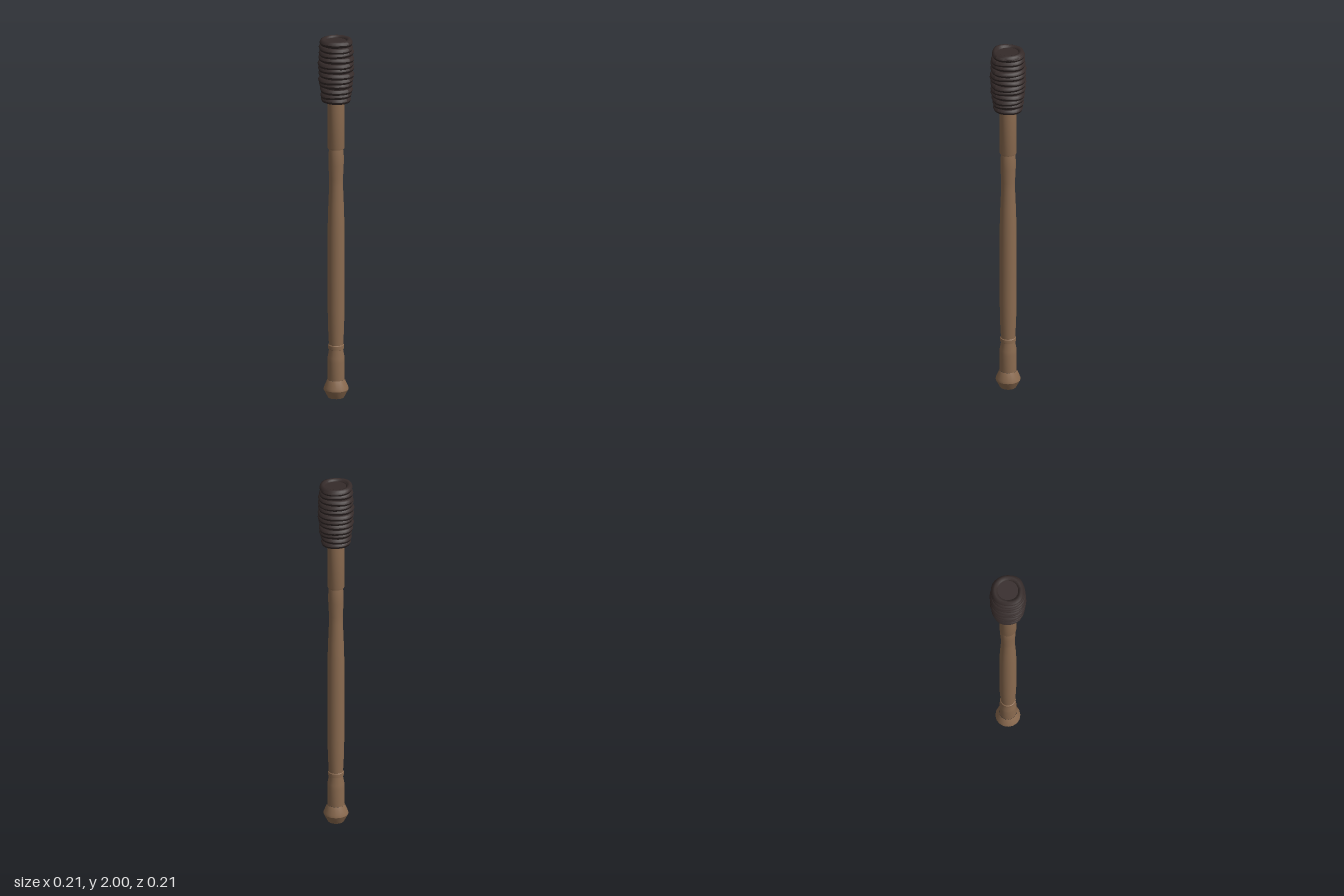
import * as THREE from 'three';
import { toCreasedNormals } from 'three/addons/utils/BufferGeometryUtils.js';

const wood = new THREE.MeshStandardMaterial({ color: 0x8b6b50 });
wood.name = 'wood';
const wrap = new THREE.MeshStandardMaterial({ color: 0x352b2a });
wrap.name = 'dark wrapping';

function turned(name, profile, material, segments = 16) {
  const points = profile.map(([r, y]) => new THREE.Vector2(r, y));
  const mesh = new THREE.Mesh(toCreasedNormals(new THREE.LatheGeometry(points, segments), 0.6), material);
  mesh.name = name;
  return mesh;
}

// One wound loop of the wrapping: a slightly uneven, tilted ring
function coil(i, y, outer, tube, wobble) {
  const geometry = new THREE.TorusGeometry(outer - tube, tube, 8, 28).rotateX(Math.PI / 2);
  const p = geometry.attributes.position;
  for (let k = 0; k < p.count; k++) {
    const x = p.getX(k), z = p.getZ(k), a = Math.atan2(z, x);
    const s = 1 + wobble * (Math.cos(4 * a) * 0.6 + Math.sin(3 * a + i * 1.9) * 0.5);
    p.setXYZ(k, x * s, p.getY(k) + y + wobble * 0.1 * Math.sin(a + i * 2.3), z * s);
  }
  geometry.computeVertexNormals();
  const mesh = new THREE.Mesh(geometry, wrap);
  mesh.name = 'coil' + (i + 1);
  return mesh;
}

export function createModel() {
  const model = new THREE.Group();
  model.name = 'mallet';

  // Turned wooden handle, from the foot upwards
  model.add(
    turned('pommel', [[0, 0], [0.043, 0], [0.05, 0.012], [0.067, 0.045], [0.065, 0.058],
      [0.047, 0.1]], wood),
    turned('lowerGrip', [[0.046, 0.1], [0.046, 0.2], [0.045, 0.225], [0.038, 0.265], [0.038, 0.27]], wood),
    turned('collar', [[0.036, 0.268], [0.042, 0.272], [0.042, 0.292], [0.036, 0.297]], wood),
    turned('shaft', [[0.038, 0.29], [0.039, 0.31], [0.043, 0.39], [0.045, 0.5], [0.046, 0.75],
      [0.045, 0.95], [0.042, 1.06], [0.037, 1.18], [0.037, 1.22], [0.041, 1.3], [0.041, 1.35],
      [0.037, 1.39]], wood),
    turned('upperSleeve', [[0.036, 1.388], [0.044, 1.388], [0.046, 1.396], [0.046, 1.66]], wood)
  );

  // Wrapped striking head: a barrel core with loops wound around it
  const head = new THREE.Group();
  head.name = 'wrappedHead';
  head.add(turned('headCore', [[0, 1.652], [0.066, 1.652], [0.078, 1.72], [0.084, 1.83],
    [0.08, 1.93], [0.066, 1.988], [0, 1.988]], wrap, 20));
  const count = 12;
  for (let i = 0; i < count; i++) {
    const y = 1.664 + i * 0.0288;
    const radius = 0.099 - 0.017 * Math.pow(Math.abs(y - 1.85) / 0.18, 2);
    head.add(coil(i, y, radius, 0.0165, i === 0 ? 0.02 : 0.04));
  }
  head.add(coil(count, 1.982, 0.088, 0.0175, 0.012));
  model.add(head);
  return model;
}
